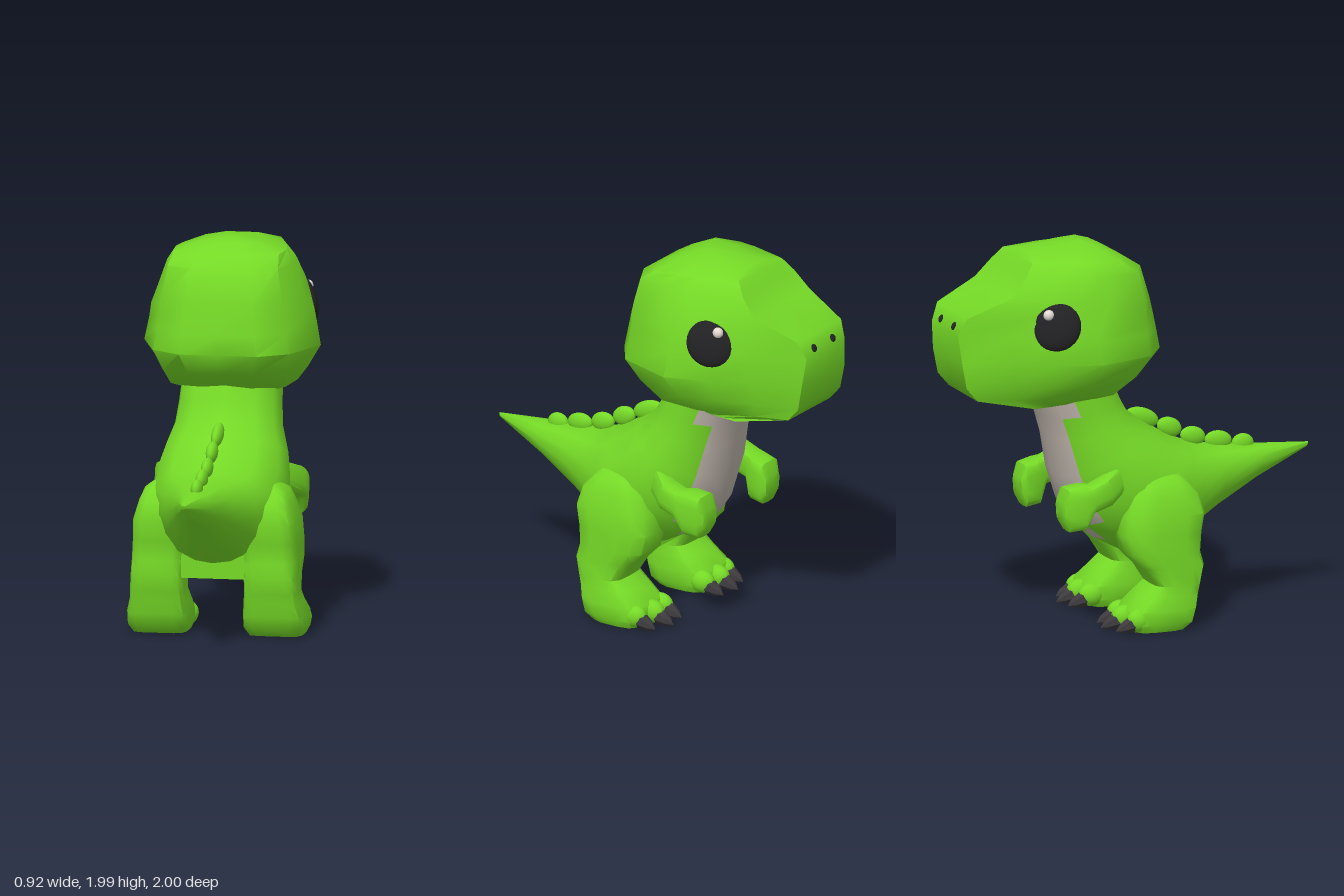
import * as THREE from 'three';
import { toCreasedNormals } from 'three/addons/utils/BufferGeometryUtils.js';

const mat = (name, color) => {
  const m = new THREE.MeshStandardMaterial({ color });
  m.name = name;
  return m;
};

// Half outlines [sideways 0..1, front-to-back 0..1], mirrored into closed rings
const BODY = [[0, 0], [0.36, 0.03], [0.7, 0.13], [0.92, 0.32], [1, 0.52], [0.9, 0.75], [0.6, 0.92], [0, 1]];
const LIMB = [[0, 0], [0.62, 0.02], [0.92, 0.14], [1, 0.35], [1, 0.75], [0.88, 0.94], [0.6, 1], [0, 1]];

const mirrorRing = half => [...half,
  ...half.slice(1, -1).reverse().map(p => new THREE.Vector3(-p.x, p.y, p.z))];

// Ring spanning two points (z, y), with half width w and sideways centre cx
function section(profile, [za, ya, zb, yb, w, cx = 0]) {
  const ring = mirrorRing(profile.map(([u, v]) =>
    new THREE.Vector3(u * w, ya + (yb - ya) * v, za + (zb - za) * v)));
  ring.forEach(p => { p.x += cx; });
  return ring;
}

// Skin a list of rings and close both ends; pick(i, j) chooses a material slot
function loft(rings, pick = () => 0) {
  const n = rings[0].length, pts = rings.flat(), tris = [[], []];
  for (let i = 0; i < rings.length - 1; i++) {
    for (let j = 0; j < n; j++) {
      const a = i * n + j, b = i * n + (j + 1) % n;
      tris[pick(i, j)].push([a, b, a + n], [b, b + n, a + n]);
    }
  }
  [0, rings.length - 1].forEach((r, end) => {
    const c = pts.length;
    pts.push(rings[r].reduce((s, p) => s.add(p), new THREE.Vector3()).divideScalar(n));
    for (let j = 0; j < n; j++) {
      const a = r * n + j, b = r * n + (j + 1) % n;
      tris[0].push(end ? [a, b, c] : [b, a, c]);
    }
  });
  // Turn all faces outward
  const cross = new THREE.Vector3();
  const volume = tris.flat().reduce((s, [a, b, c]) =>
    s + pts[a].dot(cross.crossVectors(pts[b], pts[c])), 0);
  if (volume < 0) tris.forEach(list => list.forEach(t => t.reverse()));
  const g = new THREE.BufferGeometry().setFromPoints(pts);
  g.setIndex(tris.flat(2));
  g.addGroup(0, tris[0].length * 3, 0);
  if (tris[1].length) g.addGroup(tris[0].length * 3, tris[1].length * 3, 1);
  return toCreasedNormals(g, 0.85);
}

// Head: stacked rings that follow one plan outline
function headGeometry() {
  const plan = [[0.1, 0.25], [0, 0.35], [-0.32, 0.46], [-0.55, 0.38], [-0.75, 0.285], [-0.97, 0.21], [-1, 0.18]];
  const widthAt = z => {
    for (let i = 1; i < plan.length; i++) {
      const [z0, w0] = plan[i - 1], [z1, w1] = plan[i];
      if (z >= z1) return w0 + (w1 - w0) * (z0 - z) / (z0 - z1);
    }
    return 0.18;
  };
  // back y, back z, front y, front z, width scale, widening toward the snout
  const rows = [
    [2, -0.26, 1.99, -0.42, 0.1, 0], [1.98, -0.18, 1.97, -0.57, 0.4, -0.3], [1.93, -0.09, 1.945, -0.6, 0.7, -0.5],
    [1.87, 0.01, 1.88, -0.65, 0.78, -0.35], [1.7, 0.055, 1.79, -0.73, 0.87, -0.1], [1.6, 0.075, 1.69, -0.96, 0.91, 0.3],
    [1.54, 0.085, 1.6, -1, 0.94, 0.4], [1.44, 0.1, 1.45, -0.985, 1, 0], [1.33, 0.02, 1.32, -0.96, 0.83, 0.4],
    [1.24, -0.12, 1.25, -0.9, 0.7, 0.4], [1.2, -0.25, 1.19, -0.6, 0.4, 0.4],
  ];
  return loft(rows.map(([yb, zb, yf, zf, s, widen]) => {
    const at = (t, k = 1) => {
      const z = zb + (zf - zb) * t;
      const w = t === 0 ? 0.2 : widthAt(z);
      return new THREE.Vector3(k * w * (s + (1 - s) * t * widen), yb + (yf - yb) * t, z);
    };
    return mirrorRing([at(0, 0), at(0), at(0.1), at(0.38), at(0.58), at(0.77), at(1), at(1, 0)]);
  }));
}

export function createModel() {
  const root = new THREE.Group();
  root.name = 'babyDinosaur';
  const green = mat('green skin', 0x75d926);
  const cream = mat('belly grey', 0xbdb3aa);
  const black = mat('eye black', 0x222224);
  const claw = mat('claw grey', 0x3d3a3d);
  const shine = mat('eye shine', 0xe2dad2);

  const add = (name, geometry, material, pos = [0, 0, 0], scale = [1, 1, 1]) => {
    const m = new THREE.Mesh(geometry, material);
    m.name = name;
    m.position.set(...pos);
    m.scale.set(...scale);
    root.add(m);
    return m;
  };
  const ball = new THREE.SphereGeometry(1, 20, 14);

  // Neck, torso and tail in one skin: belly point, back point, half width
  const spine = [
    [-0.535, 1.22, -0.1, 1.26, 0.262], [-0.485, 1.1, -0.065, 1.18, 0.268], [-0.45, 0.98, -0.01, 1.085, 0.28],
    [-0.415, 0.79, 0.08, 1.02, 0.32], [-0.355, 0.61, 0.18, 0.955, 0.345], [-0.29, 0.51, 0.23, 0.93, 0.345],
    [-0.18, 0.425, 0.27, 0.91, 0.345], [-0.02, 0.34, 0.32, 0.89, 0.32],
    [0.22, 0.39, 0.37, 0.875, 0.255], [0.45, 0.525, 0.5, 0.855, 0.172], [0.7, 0.66, 0.72, 0.835, 0.095],
    [0.99, 0.79, 1, 0.815, 0.008],
  ];
  // How many faces to each side of the middle belong to the belly
  const bellyFaces = [3, 2, 2, 2, 2, 1];
  const ringSize = (BODY.length - 1) * 2;
  add('bodyAndTail', loft(spine.map(r => section(BODY, r)),
    (i, j) => (Math.min(j, ringSize - 1 - j) < (bellyFaces[i] ?? 0) ? 1 : 0)), [green, cream]);

  // Flat underside between the legs
  add('pelvis', new THREE.BoxGeometry(0.34, 0.13, 0.22), green, [0, 0.375, 0.11]);

  // Head
  add('head', headGeometry(), green);

  // Bumps along the back
  [[0.085, 1.03, 0.095, 0.35], [0.235, 0.965, 0.07, 0.4], [0.365, 0.905, 0.07, 0.25],
    [0.505, 0.87, 0.075, 0.15], [0.64, 0.842, 0.06, 0.1]].forEach(([z, y, len, tilt]) => {
    add('backBump', ball, green, [0, y, z], [0.03, 0.05, len]).rotation.x = tilt;
  });

  const clawGeometry = toCreasedNormals(new THREE.LatheGeometry(
    [[0, -0.05], [0.036, -0.035], [0.042, 0], [0.026, 0.05], [0, 0.085]].map(p => new THREE.Vector2(...p)), 7), 0.5);

  for (const side of [1, -1]) {
    const label = side > 0 ? 'left' : 'right';

    // Leg: y, back z, front z, inner x, outer x
    const leg = [
      [0.8, 0.16, 0.02, 0.2, 0.31], [0.76, 0.2, -0.05, 0.16, 0.365], [0.7, 0.255, -0.1, 0.14, 0.39],
      [0.6, 0.28, -0.14, 0.13, 0.42],
      [0.5, 0.26, -0.155, 0.14, 0.425], [0.4, 0.25, -0.13, 0.15, 0.43], [0.33, 0.27, -0.06, 0.155, 0.43],
      [0.24, 0.245, 0, 0.155, 0.435], [0.19, 0.235, -0.06, 0.15, 0.44], [0.12, 0.22, -0.14, 0.14, 0.46],
      [0.05, 0.2, -0.15, 0.14, 0.46], [0.01, 0.15, -0.12, 0.16, 0.44],
    ];
    add(label + 'Leg', loft(leg.map(([y, zb, zf, xi, xo]) =>
      section(LIMB, [zf, y, zb, y, (xo - xi) / 2, side * (xo + xi) / 2]))), green);

    // Toes and claws
    [[0.19, -0.165], [0.295, -0.185], [0.4, -0.145]].forEach(([x, z]) => {
      add(label + 'Toe', ball, green, [side * x, 0.075, z + 0.05], [0.052, 0.06, 0.07]);
      add(label + 'Claw', clawGeometry, claw, [side * x, 0.055, z]).rotation.x = -Math.PI / 2 - 0.35;
    });

    // Arm from shoulder to drooping hand
    const arm = [
      [-0.1, 0.75, -0.15, 0.87, 0.05, 0.25], [-0.23, 0.68, -0.26, 0.825, 0.06, 0.33],
      [-0.325, 0.65, -0.335, 0.79, 0.065, 0.33], [-0.365, 0.56, -0.385, 0.79, 0.078, 0.305],
      [-0.45, 0.55, -0.46, 0.775, 0.078, 0.29], [-0.48, 0.6, -0.485, 0.71, 0.06, 0.285],
    ];
    add(label + 'Arm', loft(arm.map(r => section(LIMB, [...r.slice(0, 5), side * r[5]]))), green);

    // Eye with highlight, and nostril
    const eye = add(label + 'Eye', ball, black, [side * 0.338, 1.642, -0.53], [0.13, 0.128, 0.048]);
    eye.rotation.set(-0.24, side * 2.05, 0, 'YXZ');
    add(label + 'EyeShine', ball, shine, [side * 0.342, 1.705, -0.57], [0.026, 0.028, 0.028]);
    add(label + 'Nostril', ball, black, [side * 0.085, 1.63, -0.986], [0.021, 0.021, 0.01]).rotation.x = 0.4;
  }
  return root;
}
